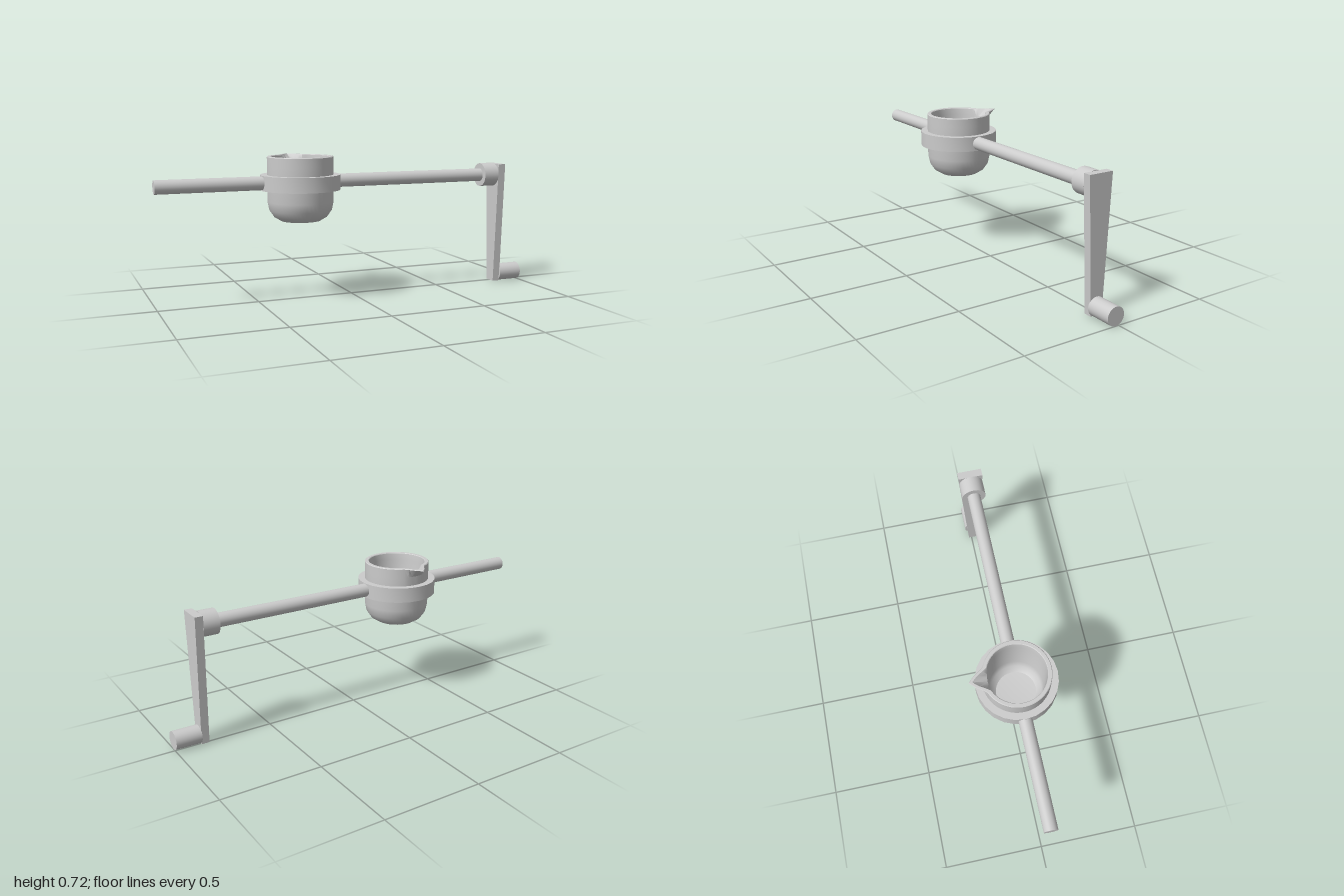
import * as THREE from 'three';
import { toCreasedNormals } from 'three/addons/utils/BufferGeometryUtils.js';

const material = new THREE.MeshStandardMaterial({ color: 0xcccccc });
const AXLE_Y = 0.597, CUP_X = -0.28;

function lathe(points, segments) {
  return new THREE.LatheGeometry(points.map(([r, y]) => new THREE.Vector2(r, y)), segments);
}

function addMesh(group, name, geometry, x = 0, y = 0) {
  const mesh = new THREE.Mesh(geometry, material);
  mesh.name = name;
  mesh.position.set(x, y, 0);
  group.add(mesh);
}

// Cylinder lying along x from x0 to x1
function addRod(group, name, x0, x1, radius, y, segments = 32) {
  const geometry = new THREE.CylinderGeometry(radius, radius, x1 - x0, segments);
  geometry.rotateZ(Math.PI / 2);
  addMesh(group, name, geometry, (x0 + x1) / 2, y);
}

// Hollow cup whose rim is drawn out into a pouring lip at the back
function cupGeometry() {
  const geometry = lathe([
    [0, 0.397], [0.055, 0.397], [0.1, 0.404], [0.133, 0.424], [0.156, 0.457], [0.165, 0.5],
    [0.165, 0.68], [0.165, 0.722], [0.162, 0.725],
    [0.147, 0.725], [0.144, 0.722], [0.14, 0.69], [0.135, 0.5], [0.125, 0.46], [0.1, 0.437], [0, 0.43],
  ], 48);
  const position = geometry.attributes.position;
  const point = new THREE.Vector3();
  for (let i = 0; i < position.count; i++) {
    point.fromBufferAttribute(position, i);
    if (point.y < 0.7) continue;
    const angle = Math.abs(Math.atan2(point.x, -point.z));
    const pull = Math.max(0, 1 - angle / 0.34);
    const radius = Math.hypot(point.x, point.z);
    const scale = 1 + 0.065 * pull / radius;
    position.setXYZ(i, point.x * scale, point.y, point.z * scale);
  }
  return toCreasedNormals(geometry, 0.6);
}

// Tapered flat crank arm
function armGeometry() {
  const shape = new THREE.Shape();
  shape.moveTo(-0.032, 0.004);
  shape.lineTo(0.032, 0.004);
  shape.lineTo(0.063, 0.655);
  shape.lineTo(-0.063, 0.655);
  shape.closePath();
  const geometry = new THREE.ExtrudeGeometry(shape, { depth: 0.04, bevelEnabled: false });
  return geometry.rotateY(Math.PI / 2);
}

export function createModel() {
  const model = new THREE.Group();
  model.name = 'tiltingCup';
  model.position.z = 0.017;

  // Cup and its holding band
  addMesh(model, 'cup', cupGeometry(), CUP_X);
  const band = lathe([[0.16, 0.559], [0.2, 0.559], [0.2, 0.634], [0.16, 0.634], [0.16, 0.559]], 24);
  addMesh(model, 'band', toCreasedNormals(band, 0.6), CUP_X);

  // Axle halves run into the band on either side
  addRod(model, 'rightAxle', -1, CUP_X - 0.18, 0.034, AXLE_Y);
  addRod(model, 'leftAxle', CUP_X + 0.18, 0.76, 0.034, AXLE_Y);

  // Crank
  addRod(model, 'crankHub', 0.75, 0.832, 0.062, AXLE_Y);
  addMesh(model, 'crankArm', armGeometry(), 0.832);
  addRod(model, 'crankHandle', 0.87, 1, 0.046, 0.047);

  const root = new THREE.Group();
  root.add(model);
  return root;
}
